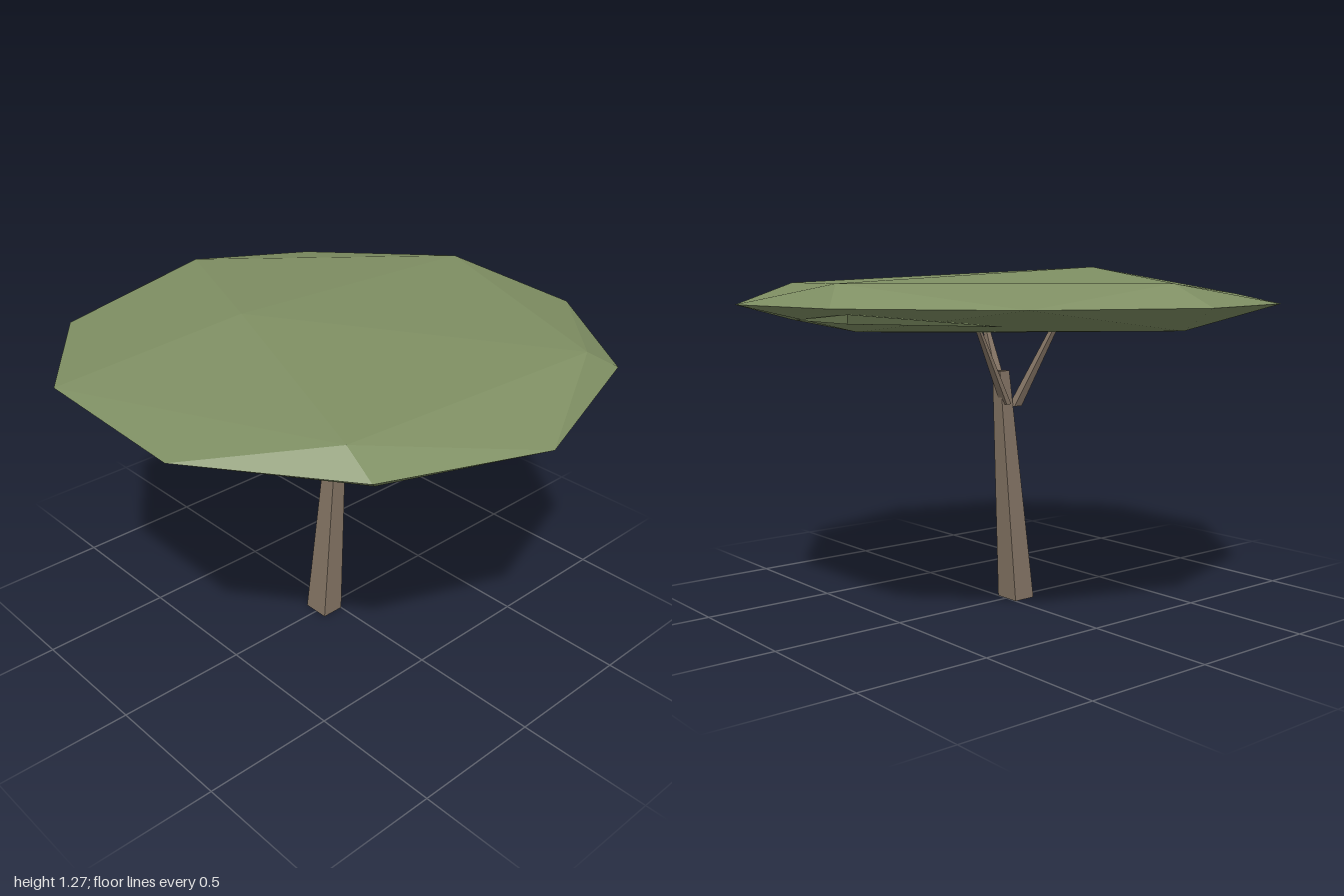
import * as THREE from 'three';
import { ConvexGeometry } from 'three/addons/geometries/ConvexGeometry.js';

const V = (x, y, z) => new THREE.Vector3(x, y, z);

export function createModel() {
  const group = new THREE.Group();
  group.name = 'flatTopTree';

  const bark = new THREE.MeshStandardMaterial({ color: 0x857565, flatShading: true });
  bark.name = 'bark';
  const leaves = new THREE.MeshStandardMaterial({ color: 0x7f8f63, flatShading: true });
  leaves.name = 'leaves';

  const addHull = (name, points, material) => {
    const mesh = new THREE.Mesh(new ConvexGeometry(points), material);
    mesh.name = name;
    group.add(mesh);
  };

  // Tapered square limb: a rectangle at each end
  const limb = (name, a, wa, da, b, wb, db) => {
    const points = [];
    for (const [p, w, d] of [[a, wa, da], [b, wb, db]])
      for (const sx of [-1, 1])
        for (const sz of [-1, 1]) points.push(V(p.x + sx * w / 2, p.y, p.z + sz * d / 2));
    addHull(name, points, bark);
  };

  // Leaning trunk
  limb('trunk', V(-0.045, 0, -0.003), 0.09, 0.105, V(0.027, 0.885, 0), 0.045, 0.045);

  // Three branches spreading into the crown
  limb('branchFront', V(-0.018, 0.745, 0.03), 0.045, 0.03, V(-0.04, 1.07, 0.185), 0.015, 0.02);
  limb('branchBack', V(-0.025, 0.75, -0.022), 0.035, 0.035, V(-0.14, 1.07, -0.13), 0.02, 0.018);
  limb('branchSide', V(0.02, 0.76, -0.02), 0.022, 0.04, V(0.185, 1.07, -0.05), 0.01, 0.02);

  // Flat faceted crown: ten-sided rim, five-sided rings above and below
  const crown = [
    V(-0.26, 1.27, -0.19), V(-0.1, 1.01, 0.32),
    V(0.48, 1.21, 0.75), V(0.86, 1.215, -0.2), V(0.05, 1.215, -0.88), V(-0.57, 1.21, 0.68),
    V(0.5, 1.065, 0.73), V(0.83, 1.065, -0.27), V(0, 1.065, -0.88), V(-0.86, 1.065, -0.27), V(-0.5, 1.065, 0.73),
  ];
  for (let i = 0; i < 10; i++) {
    const a = Math.PI / 2 + i * Math.PI / 5;
    const y = i === 0 ? 1.11 : i === 3 ? 1.165 : 1.14;
    crown.push(V(Math.cos(a), y, Math.sin(a)));
  }
  addHull('crown', crown, leaves);

  // Small leaf tuft poking out below the rim
  addHull('leafTuft', [
    V(0.93, 1.125, -0.38), V(0.92, 1.095, -0.36), V(0.89, 1.095, 0.02), V(0.6, 1.09, -0.72),
    V(0.75, 1.085, -0.3), V(0.7, 1.11, -0.25),
  ], leaves);

  return group;
}
